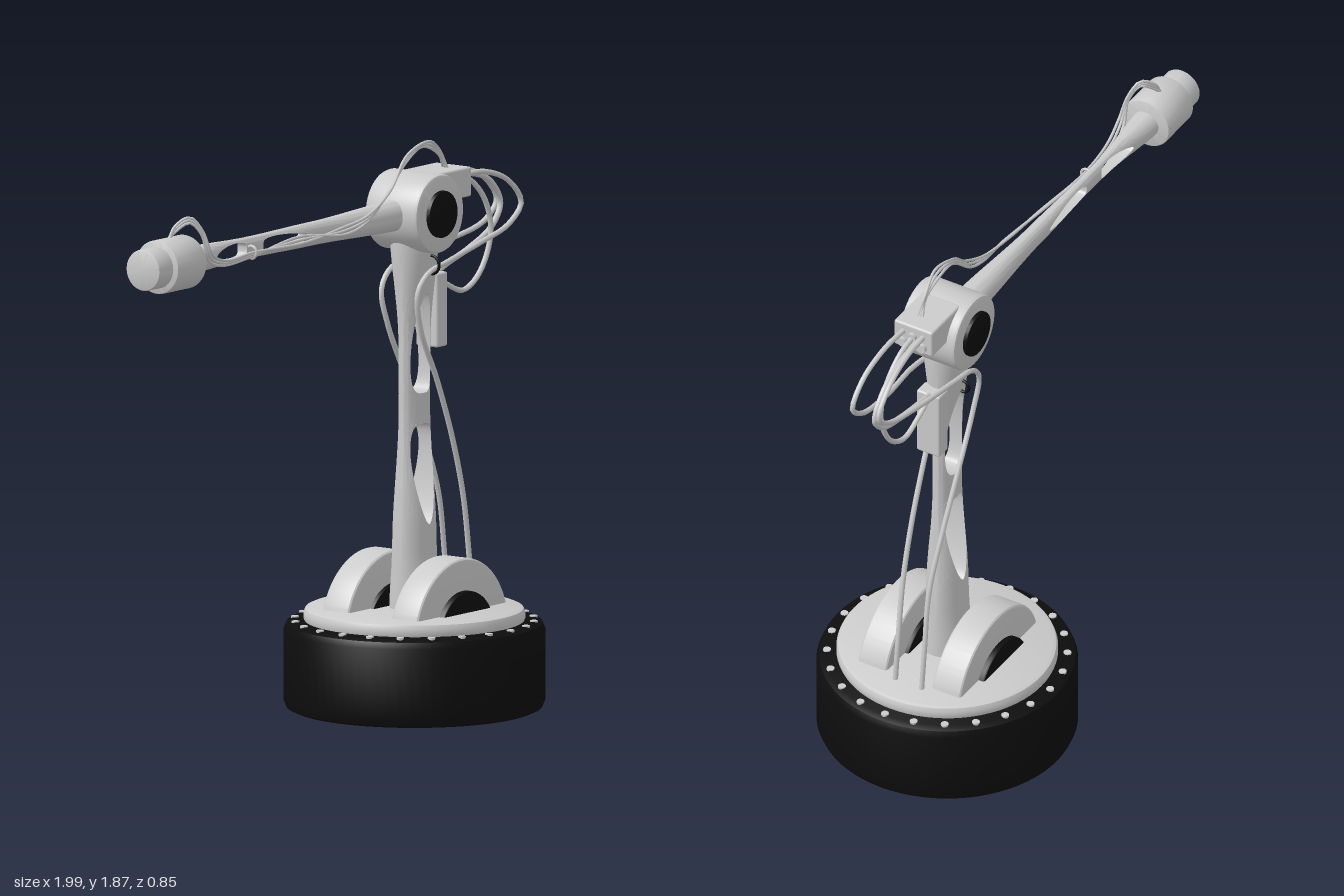
import * as THREE from 'three';
import { mergeGeometries, toCreasedNormals } from 'three/addons/utils/BufferGeometryUtils.js';
import { RoundedBoxGeometry } from 'three/addons/geometries/RoundedBoxGeometry.js';

const grey = new THREE.MeshStandardMaterial({ color: 0xcccccc });
const black = new THREE.MeshStandardMaterial({ color: 0x0d0d0d });
const CX = 0.473, JOINT_Y = 1.635;

function add(parent, name, geometry, material = grey, x = 0, y = 0, z = 0) {
  const mesh = new THREE.Mesh(geometry, material);
  mesh.name = name;
  mesh.position.set(x, y, z);
  parent.add(mesh);
  return mesh;
}

// Bevelled cylinder along y, from y0 to y1
function drum(r, y0, y1, b, segments = 64) {
  const pts = [[0, y0], [r - b, y0], [r - b * 0.3, y0 + b * 0.3], [r, y0 + b],
    [r, y1 - b], [r - b * 0.3, y1 - b * 0.3], [r - b, y1], [0, y1]];
  const g = new THREE.LatheGeometry(pts.map(p => new THREE.Vector2(...p)), segments);
  return toCreasedNormals(g, 0.45);
}

// Smooth interpolation through [position, value] pairs
function profile(pairs) {
  return t => {
    let i = 0;
    while (i < pairs.length - 2 && t > pairs[i + 1][0]) i++;
    const [a, va] = pairs[i], [b, vb] = pairs[i + 1];
    return va + (vb - va) * THREE.MathUtils.smoothstep(t, a, b);
  };
}

// Oval beam along y pierced in z by teardrop holes { narrow, wide, half }
function piercedBeam(y0, y1, width, depth, holes) {
  const rows = new Set();
  for (let i = 0; i <= 24; i++) rows.add(y0 + (y1 - y0) * i / 24);
  for (const h of holes) {
    for (let i = 0; i <= 28; i++) {
      rows.add(h.narrow + (h.wide - h.narrow) * (1 - Math.cos(Math.PI * i / 28)) / 2);
    }
  }
  const opening = y => {
    for (const h of holes) {
      const s = (y - h.narrow) / (h.wide - h.narrow);
      if (s > 0 && s < 1) return h.half * Math.pow(s, 0.6) * Math.pow(1 - s, 0.25) / 0.6;
    }
    return 0;
  };
  const n = 20, position = [];
  const sections = [...rows].sort((a, b) => a - b).map(y => {
    const w = width(y), d = depth(y), h = opening(y), a0 = Math.acos(h / w), pts = [];
    for (let i = 0; i <= n; i++) {
      const a = a0 * (1 - 2 * i / n);
      pts.push([w * Math.cos(a), y, d * Math.sin(a)]);
    }
    return { pts, open: h > 0 };
  });
  for (let j = 0; j < sections.length - 1; j++) {
    const lo = sections[j], hi = sections[j + 1];
    const last = lo.open || hi.open ? n : n - 1; // the last quad is the hole wall
    for (let i = 0; i <= last; i++) {
      const k = (i + 1) % (n + 1);
      const a = lo.pts[i], b = lo.pts[k], c = hi.pts[k], d = hi.pts[i];
      position.push(...a, ...b, ...c, ...a, ...c, ...d);
    }
  }
  const half = new THREE.BufferGeometry();
  half.setAttribute('position', new THREE.Float32BufferAttribute(position, 3));
  return toCreasedNormals(mergeGeometries([half, half.clone().rotateY(Math.PI)]), 0.6);
}

function cable(parent, name, points, r) {
  const curve = new THREE.CatmullRomCurve3(points.map(p => new THREE.Vector3(...p)));
  add(parent, name, new THREE.TubeGeometry(curve, 90, r, 8));
}

export function createModel() {
  const model = new THREE.Group();

  // Base drum, turntable and ring of rivets
  const base = new THREE.Group();
  base.name = 'base';
  base.position.x = CX;
  model.add(base);
  add(base, 'baseDrum', drum(0.425, 0, 0.292, 0.03, 72), black);
  add(base, 'turntable', drum(0.36, 0.28, 0.335, 0.018, 72));
  for (let i = 0; i < 24; i++) {
    const a = i / 24 * Math.PI * 2;
    add(base, 'rivet', new THREE.CylinderGeometry(0.013, 0.013, 0.01, 12), grey,
      0.39 * Math.sin(a), 0.291, 0.39 * Math.cos(a));
  }

  // Shoulder brackets with pivot discs
  const bevel = 0.012, r = 0.2555 - bevel, cy = 0.2545;
  const arc = new THREE.Shape();
  const a0 = Math.asin((0.335 - cy) / r);
  arc.absarc(0, cy, r, a0, Math.PI - a0);
  const bracket = toCreasedNormals(new THREE.ExtrudeGeometry(arc, {
    depth: 0.11 - 2 * bevel, bevelSize: bevel, bevelThickness: bevel, bevelSegments: 3, curveSegments: 40,
  }), 0.5);
  for (const s of [1, -1]) {
    add(base, 'shoulderBracket', bracket, grey, 0, 0, s * 0.14 - 0.055 + bevel);
    add(base, 'shoulderPivot', drum(0.15, -0.0735, 0.0735, 0.008).rotateX(Math.PI / 2), black,
      0, cy, s * 0.1435);
  }

  // Upright arm
  add(model, 'lowerArm', piercedBeam(0.32, 1.6,
    profile([[0.32, 0.092], [0.5, 0.088], [1.0, 0.07], [1.2, 0.071], [1.6, 0.092]]),
    profile([[0.32, 0.076], [0.55, 0.062], [1.0, 0.036], [1.2, 0.037], [1.6, 0.075]]),
    [{ narrow: 0.61, wide: 0.94, half: 0.058 }, { narrow: 1.37, wide: 1.04, half: 0.054 }]),
  grey, CX);

  // Elbow drum, caps and connector box
  add(model, 'elbow', drum(0.13, -0.106, 0.106, 0.012).rotateX(Math.PI / 2), grey, CX, JOINT_Y);
  add(model, 'elbowCaps', drum(0.077, -0.12, 0.12, 0.005, 48).rotateX(Math.PI / 2), black, CX, JOINT_Y);
  add(model, 'connectorBox', new RoundedBoxGeometry(0.18, 0.098, 0.146, 2, 0.008), grey, 0.598, 1.711);
  for (const [y, z] of [[1.69, -0.037], [1.72, 0], [1.69, 0.037]]) {
    add(model, 'plug', new THREE.CylinderGeometry(0.016, 0.016, 0.016, 16).rotateZ(Math.PI / 2), grey, 0.693, y, z);
  }

  // Horizontal arm
  const foreArm = add(model, 'foreArm', piercedBeam(-0.38, 0.8,
    profile([[-0.38, 0.051], [0.1, 0.039], [0.42, 0.036], [0.8, 0.046]]),
    profile([[-0.38, 0.05], [0.1, 0.028], [0.38, 0.019], [0.5, 0.02], [0.8, 0.05]]),
    [{ narrow: 0.12, wide: 0.37, half: 0.024 }, { narrow: 0.64, wide: 0.46, half: 0.026 }]),
  grey, 0, JOINT_Y);
  foreArm.rotation.z = Math.PI / 2;

  // Wrist and tool end
  add(model, 'wrist', drum(0.088, -0.078, 0.078, 0.006, 48).rotateZ(Math.PI / 2), grey, -0.847, JOINT_Y);
  add(model, 'toolEnd', drum(0.068, -0.045, 0.045, 0.006, 48).rotateZ(Math.PI / 2), grey, -0.955, JOINT_Y);

  // Junction strip behind the upright arm
  add(model, 'junctionStrip', new RoundedBoxGeometry(0.058, 0.245, 0.088, 2, 0.008), grey, 0.567, 1.302);

  // Cable clips
  for (const [x, y, z, size, mat] of [[CX, 1.465, 0.07, 0.03, black], [CX, 1.4, -0.06, 0.022, black],
    [-0.45, 1.625, 0.03, 0.02, grey]]) {
    add(model, 'cableClip', new THREE.TorusGeometry(size, 0.005, 8, 24).rotateY(Math.PI / 2), mat, x, y, z);
  }

  // Cable bundle along the horizontal arm
  for (let i = -1; i <= 1; i++) {
    const o = i * 0.009;
    cable(model, 'foreArmCable', [
      [-0.86, 1.7, -0.01 + o], [-0.83, 1.745 + o, 0], [-0.785, 1.775 + o, 0.03], [-0.75, 1.73 + o, 0.055],
      [-0.72, 1.65 + o, 0.062 + o], [-0.63, 1.615 + o, 0.05 + o], [-0.45, 1.62 + o * 0.6, 0.04],
      [-0.2, 1.635 - o, 0.05 + o], [0, 1.637 + o, 0.066 - o], [0.14, 1.66 + o, 0.06],
      [0.27, 1.725 + o, 0.045 + o], [0.39, 1.82 + o, 0.03], [0.51, 1.852 + o, 0.018 + o], [0.59, 1.815 + o, 0.012],
      [0.63, 1.75, 0.01 + o]], 0.005);
  }

  // Long cables from the connector box down to the turntable
  for (const [s, clip, foot] of [[1, 0.085, 0.04], [-1, -0.07, -0.06]]) {
    cable(model, 'mainCable', [
      [0.68, 1.73, s * 0.037], [0.8, 1.725, s * 0.042], [0.92, 1.68, s * 0.048], [0.985, 1.6, s * 0.05],
      [0.92, 1.54, s * 0.05], [0.75, 1.5, s * 0.06], [0.55, 1.47, clip], [0.43, 1.44, clip],
      [0.383, 1.38, clip * 0.95], [0.41, 1.26, clip * 0.85], [0.51, 1.08, s * 0.064], [0.6, 0.88, s * 0.058],
      [0.67, 0.68, s * 0.05], [0.715, 0.48, foot], [0.733, 0.33, foot]], 0.009);
  }

  // Short loops feeding the junction strip
  cable(model, 'innerLoop', [
    [0.68, 1.72, 0], [0.77, 1.7, 0], [0.85, 1.62, 0.005], [0.88, 1.51, 0.005], [0.83, 1.39, 0],
    [0.74, 1.34, 0], [0.65, 1.37, 0], [0.58, 1.41, 0]], 0.009);
  cable(model, 'outerLoop', [
    [0.68, 1.71, -0.02], [0.82, 1.71, -0.03], [0.93, 1.67, -0.035], [0.985, 1.59, -0.035], [0.93, 1.52, -0.03],
    [0.8, 1.47, -0.02], [0.66, 1.435, -0.01], [0.57, 1.41, 0]], 0.01);

  return model;
}
